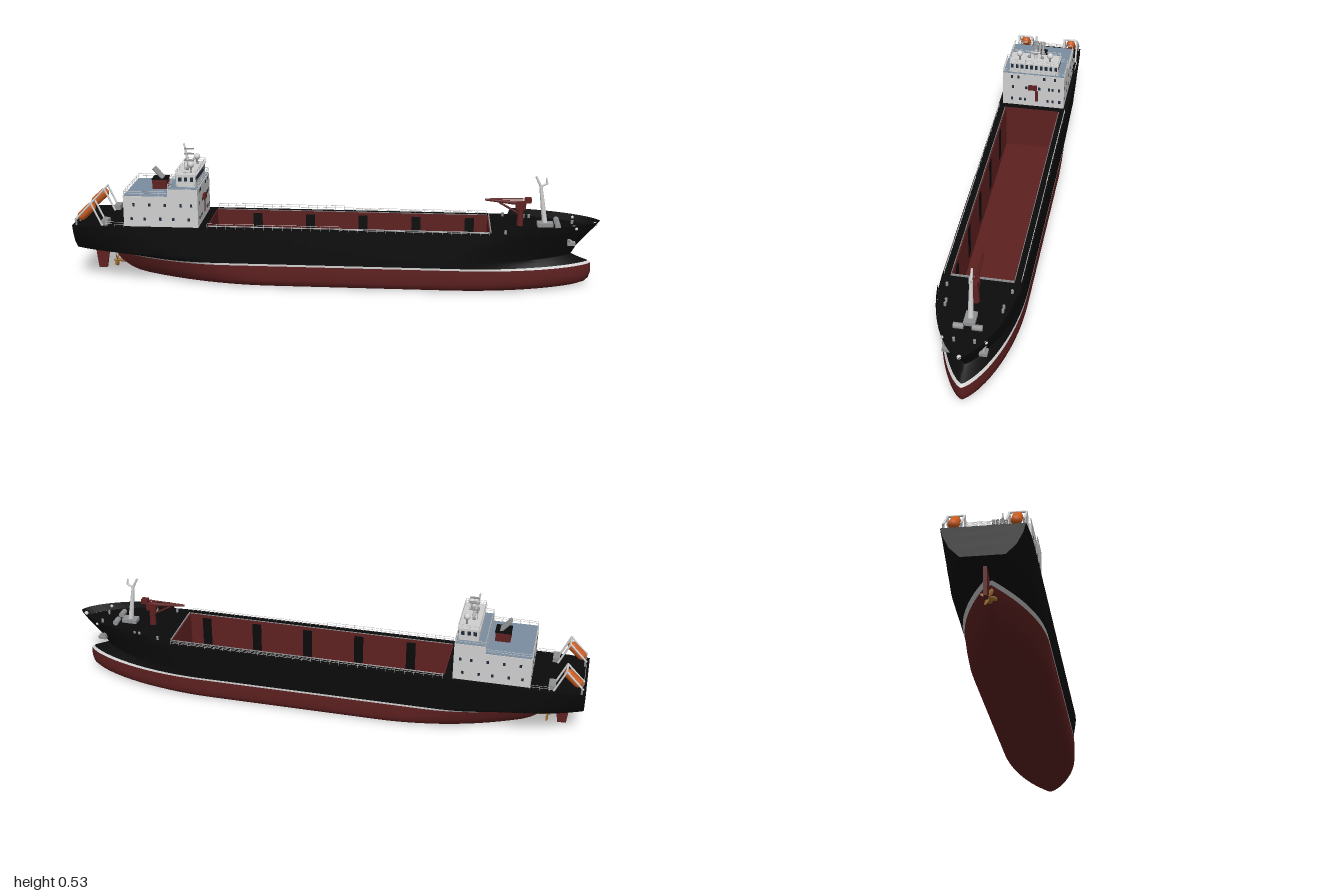
import * as THREE from 'three';
import { toCreasedNormals, mergeGeometries } from 'three/addons/utils/BufferGeometryUtils.js';

const paint = (name, color, side = THREE.FrontSide) => {
  const m = new THREE.MeshStandardMaterial({ color, side });
  m.name = name;
  return m;
};
const V = (x, y, z) => new THREE.Vector3(x, y, z);

// Waterlines: height, half beam, stern x, bow x, bow length, bow power, stern width share, stern length
const LINES = [
  [0.0, 0.112, -0.70, 0.90, 0.5, 0.85, 0.1, 0.5],
  [0.006, 0.128, -0.74, 0.93, 0.5, 0.8, 0.08, 0.5],
  [0.016, 0.138, -0.78, 0.955, 0.5, 0.75, 0.06, 0.5],
  [0.03, 0.143, -0.81, 0.968, 0.5, 0.7, 0.05, 0.5],
  [0.055, 0.144, -0.845, 0.975, 0.5, 0.68, 0.05, 0.48],
  [0.09, 0.144, -0.87, 0.973, 0.5, 0.7, 0.06, 0.45],
  [0.098, 0.144, -0.885, 0.962, 0.5, 0.75, 0.1, 0.42],
  [0.112, 0.144, -0.935, 0.925, 0.46, 0.8, 0.32, 0.36],
  [0.125, 0.144, -1, 0.897, 0.42, 0.8, 0.5, 0.3],
  [0.16, 0.144, -1, 0.917, 0.41, 0.74, 0.74, 0.25],
  [0.2, 0.144, -1, 0.952, 0.4, 0.7, 0.88, 0.2],
  [0.232, 0.144, -1, 0.98, 0.4, 0.68, 0.94, 0.15],
  [0.257, 0.144, -1, 1.0, 0.41, 0.68, 0.94, 0.15],
];

function halfBeam([, b, xs, xb, lb, pb, f, ls], x) {
  const u = THREE.MathUtils.clamp((xb - x) / lb, 0, 1);
  const s = THREE.MathUtils.clamp((x - xs) / ls, 0, 1);
  return b * Math.pow(u * (2 - u), pb) * (f + (1 - f) * s * (2 - s));
}

// Loop along the left side to the bow and back along the right side
function outline(line, start = line[2], n = 48) {
  const left = [];
  for (let i = 0; i <= n; i++) {
    const x = start + (line[3] - start) * (1 - Math.cos(Math.PI * i / n)) / 2;
    left.push(V(x, line[0], halfBeam(line, x)));
  }
  return [...left, ...left.slice(0, -1).reverse().map(p => V(p.x, p.y, -p.z))];
}

function loft(rings, closed) {
  const pos = [];
  for (let r = 0; r + 1 < rings.length; r++) {
    const a = rings[r], b = rings[r + 1], n = a.length;
    for (let i = 0; i < (closed ? n : n - 1); i++) {
      const j = (i + 1) % n;
      for (const p of [a[i], a[j], b[j], a[i], b[j], b[i]]) pos.push(p.x, p.y, p.z);
    }
  }
  const g = new THREE.BufferGeometry();
  g.setAttribute('position', new THREE.Float32BufferAttribute(pos, 3));
  return toCreasedNormals(g, 0.6);
}

export function createModel() {
  const black = paint('hull black', 0x0b0b0b, THREE.DoubleSide);
  const red = paint('oxide red', 0x5e2020, THREE.DoubleSide);
  const white = paint('house white', 0xd0d0d0);
  const grey = paint('metal grey', 0x8e9092);
  const blue = paint('deck blue', 0x7a8da0);
  const glass = paint('window glass', 0x1e2a3a);
  const orange = paint('lifeboat orange', 0xc85a1e);
  const brass = paint('propeller brass', 0x9a6a2c, THREE.DoubleSide);

  const ship = new THREE.Group();
  ship.name = 'cargoShip';
  const add = (name, geo, mat) => {
    const m = new THREE.Mesh(geo, mat);
    m.name = name;
    ship.add(m);
    return m;
  };
  const boxGeo = (x0, x1, y0, y1, z0, z1) => new THREE.BoxGeometry(x1 - x0, y1 - y0, z1 - z0)
    .translate((x0 + x1) / 2, (y0 + y1) / 2, (z0 + z1) / 2);
  const box = (name, mat, ...d) => add(name, boxGeo(...d), mat);
  const rodGeo = (a, b, r, r2 = r, sides = 8) => {
    const d = b.clone().sub(a);
    return new THREE.CylinderGeometry(r2, r, d.length(), sides)
      .applyQuaternion(new THREE.Quaternion().setFromUnitVectors(V(0, 1, 0), d.normalize()))
      .translate((a.x + b.x) / 2, (a.y + b.y) / 2, (a.z + b.z) / 2);
  };
  const rod = (name, mat, a, b, r, r2, sides) => add(name, rodGeo(a, b, r, r2, sides), mat);
  const ball = (name, mat, x, y, z, r) => add(name, new THREE.SphereGeometry(r, 20, 14).translate(x, y, z), mat);
  // Railing along a path of points, with posts and two bars
  const rail = (name, pts, h, gap = 0.035) => {
    const parts = [], r = 0.0009;
    for (let i = 0; i + 1 < pts.length; i++) {
      const a = pts[i], b = pts[i + 1], n = Math.max(1, Math.round(a.distanceTo(b) / gap));
      for (const k of [0.55, 1]) parts.push(rodGeo(a.clone().setY(a.y + h * k), b.clone().setY(b.y + h * k), r, r, 4));
      for (let j = 0; j <= n; j++) {
        const p = a.clone().lerp(b, j / n);
        parts.push(rodGeo(p, p.clone().setY(p.y + h), r, r, 4));
      }
    }
    add(name, mergeGeometries(parts), white);
  };

  // Hull
  const rings = LINES.map(l => outline(l));
  add('lowerHull', loft(rings.slice(0, 6), true), red);
  add('waterlineBand', loft(rings.slice(5, 7), true), white);
  add('upperHull', loft(rings.slice(6, 12), true), black);
  add('bulwark', loft([outline(LINES[11], 0.66), outline(LINES[12], 0.67)], false), black);
  const flat = ring => new THREE.Shape(ring.map(p => new THREE.Vector2(p.x, -p.z)).reverse());
  add('keelPlate', new THREE.ShapeGeometry(flat(rings[0])).rotateX(Math.PI / 2), red);
  const deck = flat(rings[11]);
  deck.holes.push(new THREE.Path([[-0.48, -0.107], [-0.48, 0.107], [0.58, 0.107], [0.58, -0.107]]
    .map(p => new THREE.Vector2(...p))));
  add('mainDeck', new THREE.ShapeGeometry(deck).rotateX(-Math.PI / 2).translate(0, 0.231, 0), black);

  // Open cargo hold
  box('holdFloor', red, -0.48, 0.58, 0.045, 0.05, -0.107, 0.107);
  box('holdAftWall', red, -0.484, -0.48, 0.05, 0.234, -0.107, 0.107);
  box('holdForeWall', red, 0.58, 0.584, 0.05, 0.234, -0.107, 0.107);
  for (const s of [1, -1]) {
    box('holdSideWall', red, -0.48, 0.58, 0.05, 0.234, s * 0.109 - 0.002, s * 0.109 + 0.002);
    for (let i = 0; i < 5; i++) {
      const x = -0.32 + i * 0.208;
      box('holdRecess', black, x - 0.018, x + 0.018, 0.09, 0.222, s * 0.106 - 0.001, s * 0.106 + 0.001);
    }
    box('coamingEdge', grey, -0.48, 0.58, 0.232, 0.236, s * 0.113 - 0.001, s * 0.113 + 0.001);
    rail('sideRailAft', [V(-0.48, 0.231, s * 0.138), V(0.02, 0.231, s * 0.138)], 0.02);
    rail('sideRailFore', [V(0.02, 0.231, s * 0.138), V(0.58, 0.231, s * 0.138)], 0.012);
    rail('sternRail', [V(-0.8, 0.231, s * 0.136), V(-0.87, 0.231, s * 0.136)], 0.018);
  }
  box('holdForeEdge', grey, 0.584, 0.588, 0.231, 0.238, -0.113, 0.113);

  // Deckhouse and bridge
  box('deckhouse', white, -0.8, -0.515, 0.23, 0.35, -0.128, 0.128);
  box('houseRoof', blue, -0.797, -0.63, 0.35, 0.352, -0.125, 0.125);
  box('upperHouse', white, -0.63, -0.515, 0.35, 0.38, -0.128, 0.128);
  box('bridgeDeck', blue, -0.63, -0.518, 0.38, 0.382, -0.126, 0.126);
  box('bridge', white, -0.6, -0.525, 0.382, 0.428, -0.1, 0.1);
  box('bridgeRoof', white, -0.603, -0.52, 0.428, 0.431, -0.103, 0.103);
  const loop = (x0, x1, y, z) => [V(x0, y, -z), V(x1, y, -z), V(x1, y, z), V(x0, y, z), V(x0, y, -z)];
  rail('bridgeDeckRail', loop(-0.628, -0.517, 0.382, 0.127), 0.017);
  rail('bridgeRoofRail', loop(-0.6, -0.523, 0.431, 0.1), 0.015);
  rail('houseRoofRail', [V(-0.63, 0.352, 0.126), V(-0.798, 0.352, 0.126), V(-0.798, 0.352, -0.126), V(-0.63, 0.352, -0.126)], 0.017);

  // Windows
  const panes = [];
  const endPane = (x, y, z, w = 0.009, h = 0.013) => panes.push(boxGeo(x - 0.001, x + 0.001, y - h / 2, y + h / 2, z - w / 2, z + w / 2));
  const sidePane = (x, y, z, w = 0.009, h = 0.012) => panes.push(boxGeo(x - w / 2, x + w / 2, y - h / 2, y + h / 2, z - 0.001, z + 0.001));
  for (let i = 0; i < 10; i++) endPane(-0.525, 0.412, -0.09 + i * 0.02, 0.011, 0.018);
  for (const z of [0.09, 0.062, -0.045, -0.09]) endPane(-0.515, 0.366, z);
  for (const z of [0.085, 0.03, -0.025, -0.066, -0.08, -0.107]) endPane(-0.515, 0.317, z);
  for (const z of [0.09, 0.055, 0.035, -0.06, -0.082, -0.11]) endPane(-0.515, 0.26, z);
  for (const s of [1, -1]) {
    for (const x of [-0.585, -0.563, -0.54]) sidePane(x, 0.412, s * 0.1, 0.012, 0.016);
    for (const x of [-0.76, -0.7, -0.64, -0.58, -0.54]) sidePane(x, 0.317, s * 0.128);
    for (const x of [-0.77, -0.72, -0.66, -0.61, -0.55]) sidePane(x, 0.262, s * 0.128);
    for (const z of [0.04, 0.09]) for (const y of [0.262, 0.317]) endPane(-0.8, y, s * z);
  }
  add('windows', mergeGeometries(panes), glass);
  box('houseDoor', red, -0.516, -0.513, 0.255, 0.305, -0.02, -0.008);
  box('frontBalcony', red, -0.515, -0.505, 0.312, 0.332, -0.015, 0.02);

  // Radar mast, domes and antennas
  rod('radarMast', white, V(-0.565, 0.43, 0), V(-0.585, 0.527, 0), 0.007, 0.003);
  for (const [y, w] of [[0.46, 0.022], [0.485, 0.014], [0.505, 0.009]])
    box('mastArm', grey, -0.585, -0.548, y, y + 0.004, -w / 2, w / 2);
  rod('radarScanner', white, V(-0.55, 0.47, -0.02), V(-0.55, 0.47, 0.02), 0.003);
  for (const s of [1, -1]) {
    rod('domeStand', grey, V(-0.548, 0.43, s * 0.063), V(-0.548, 0.455, s * 0.063), 0.004);
    ball('radome', white, -0.548, 0.461, s * 0.063, 0.0125);
    ball('smallDome', grey, -0.57, 0.436, s * 0.027, 0.007);
    rod('antenna', grey, V(-0.58, 0.43, s * 0.022), V(-0.58, 0.46, s * 0.022), 0.001);
  }

  // Funnel
  box('funnel', red, -0.708, -0.652, 0.352, 0.388, -0.028, 0.028);
  box('funnelCap', black, -0.71, -0.65, 0.388, 0.392, -0.03, 0.03);
  for (const z of [-0.014, 0, 0.014])
    rod('exhaustPipe', grey, V(-0.67, 0.39, z), V(-0.705, 0.43, z), 0.006);

  // Lifeboats on sloping davits
  for (const s of [1, -1]) {
    for (const z of [0.072, 0.128]) {
      rod('davitRamp', white, V(-0.99, 0.25, s * z), V(-0.925, 0.318, s * z), 0.004);
      rod('davitLeg', white, V(-0.925, 0.318, s * z), V(-0.885, 0.231, s * z), 0.004);
      rod('davitPost', grey, V(-0.985, 0.231, s * z), V(-0.985, 0.258, s * z), 0.004);
    }
    rod('davitCrossbar', white, V(-0.925, 0.318, s * 0.07), V(-0.925, 0.318, s * 0.13), 0.004);
    const boat = add('lifeboat', new THREE.CapsuleGeometry(0.018, 0.05, 6, 14).rotateZ(-Math.PI / 2), orange);
    boat.position.set(-0.95, 0.278, s * 0.1);
    boat.rotation.z = 0.75;
    box('winch', grey, -0.89, -0.865, 0.231, 0.25, s * 0.1 - 0.025, s * 0.1 + 0.025);
  }
  rail('transomRail', [V(-0.99, 0.231, -0.06), V(-0.99, 0.231, 0.06)], 0.018);

  // Deck crane
  rod('cranePedestal', red, V(0.7, 0.23, 0), V(0.7, 0.3, 0), 0.013, 0.011, 14);
  box('craneCab', red, 0.682, 0.72, 0.295, 0.325, -0.012, 0.012);
  rod('craneBoom', red, V(0.705, 0.318, 0), V(0.565, 0.33, 0), 0.009, 0.004);
  rod('craneStay', red, V(0.71, 0.336, 0), V(0.565, 0.332, 0), 0.003);
  rod('craneRam', red, V(0.69, 0.28, 0), V(0.62, 0.32, 0), 0.004);
  box('craneCounterweight', red, 0.715, 0.74, 0.322, 0.34, -0.012, 0.012);

  // Foremast with forked top
  rod('foremast', white, V(0.795, 0.23, 0), V(0.772, 0.39, 0), 0.011, 0.006, 12);
  rod('mastForkAft', white, V(0.772, 0.388, 0), V(0.753, 0.425, 0), 0.005, 0.004);
  rod('mastForkFore', white, V(0.772, 0.385, 0), V(0.796, 0.398, 0), 0.004);
  rod('mastForkTip', white, V(0.796, 0.396, 0), V(0.792, 0.42, 0), 0.004, 0.003);
  box('mastBase', grey, 0.765, 0.825, 0.231, 0.245, -0.02, 0.02);

  // Foredeck winches, bollards, anchors and fairleads
  for (const s of [1, -1]) {
    rod('anchorWinch', grey, V(0.84, 0.243, s * 0.015), V(0.84, 0.243, s * 0.05), 0.011, 0.011, 12);
    for (const [x, z] of [[0.72, 0.1], [0.74, 0.1], [0.9, 0.035], [0.64, 0.115]])
      rod('bollard', grey, V(x, 0.231, s * z), V(x, 0.245, s * z), 0.005);
    const ax = 0.885, az = s * halfBeam(LINES[10], ax);
    rod('anchorShank', grey, V(ax - 0.012, 0.203, az), V(ax + 0.008, 0.186, az), 0.007);
    box('anchorFlukes', grey, ax - 0.01, ax + 0.02, 0.178, 0.19, az - 0.014, az + 0.014);
    const fz = s * halfBeam(LINES[12], 0.91);
    ball('fairlead', white, 0.905, 0.245, fz * 0.98, 0.006);
  }
  ball('bowFairlead', white, 0.983, 0.243, 0, 0.008);

  // Rudder and propeller
  const blade = new THREE.Shape([[-0.94, 0.02], [-0.908, 0.02], [-0.892, 0.115], [-0.952, 0.125]]
    .map(p => new THREE.Vector2(...p)));
  add('rudder', new THREE.ExtrudeGeometry(blade, { depth: 0.012, bevelEnabled: false }).translate(0, 0, -0.006), red);
  rod('propellerHub', brass, V(-0.835, 0.05, 0), V(-0.88, 0.05, 0), 0.008, 0.004, 12);
  for (let i = 0; i < 4; i++) {
    const g = new THREE.SphereGeometry(1, 10, 8).scale(0.002, 0.014, 0.008).rotateY(0.6).translate(0, 0.017, 0);
    add('propellerBlade', g.rotateX(i * Math.PI / 2 + 0.4).translate(-0.868, 0.05, 0), brass);
  }
  return ship;
}
